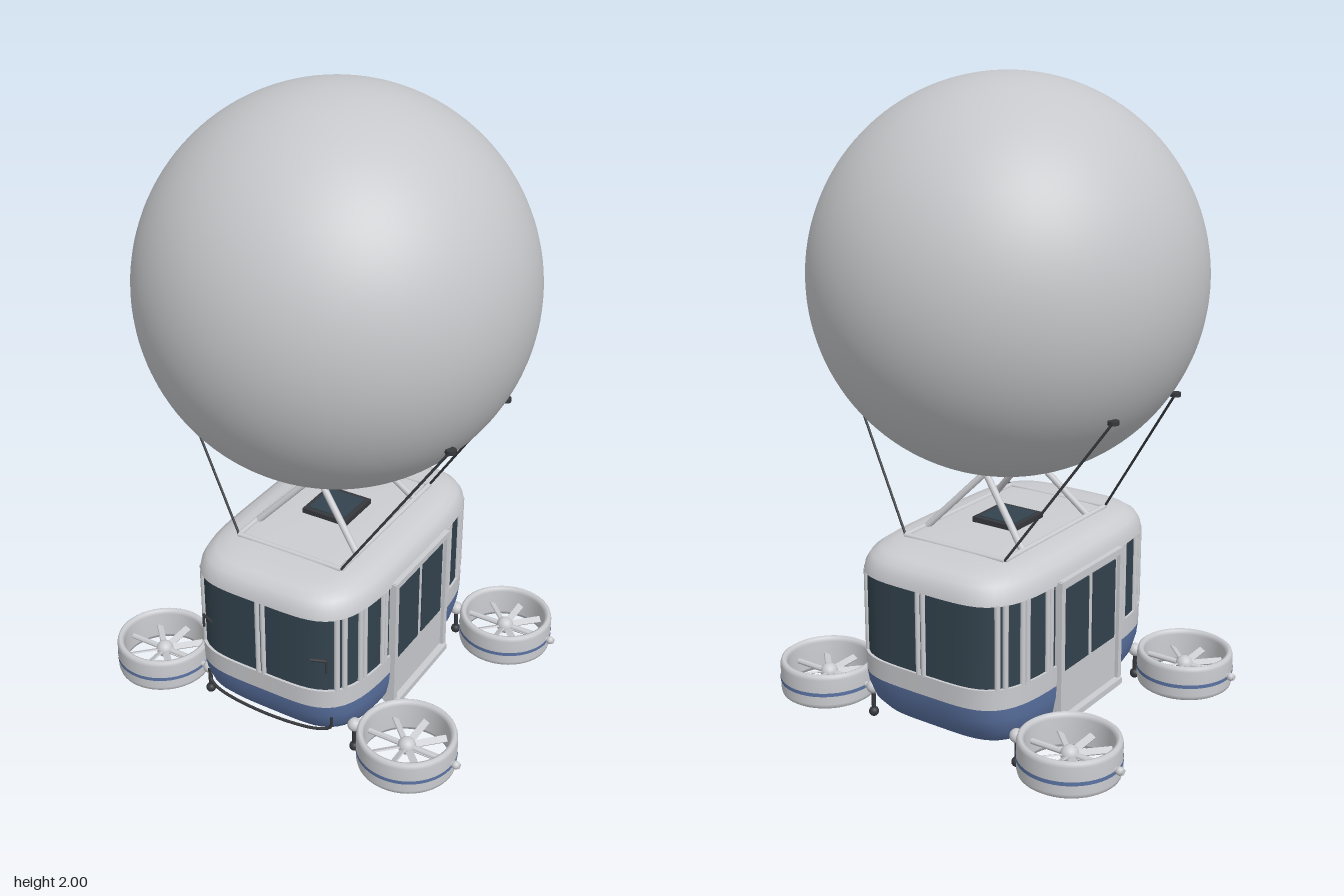
import * as THREE from 'three';

const mat = (name, color, side = THREE.FrontSide) => {
  const m = new THREE.MeshStandardMaterial({ color, side });
  m.name = name;
  return m;
};
const V = (x, y, z) => new THREE.Vector3(x, y, z);

// Rounded plan of the cabin: x half-width w, z half-length l
const N = 4.5;
const sideX = (z, w, l) => w * Math.pow(1 - Math.pow(Math.abs(z) / l, N), 1 / N);

// Stack of rounded plans; each row is [y, halfWidth, halfLength], from bottom to top
function loft(rows, seg = 96) {
  const pos = [], idx = [];
  for (const [y, w, l] of rows) {
    for (let i = 0; i < seg; i++) {
      const a = (i / seg) * Math.PI * 2, c = Math.cos(a), s = Math.sin(a);
      const r = Math.pow(Math.abs(c) ** N + Math.abs(s) ** N, -1 / N);
      pos.push(w * r * c, y, l * r * s);
    }
  }
  for (let j = 0; j < rows.length - 1; j++) {
    for (let i = 0; i < seg; i++) {
      const k = (i + 1) % seg, a = j * seg + i, b = j * seg + k;
      idx.push(a, a + seg, b, b, a + seg, b + seg);
    }
  }
  const g = new THREE.BufferGeometry();
  g.setAttribute('position', new THREE.Float32BufferAttribute(pos, 3));
  g.setIndex(idx);
  g.computeVertexNormals();
  return g;
}

export function createModel() {
  const shell = mat('light grey shell', 0xcbccd0);
  const balloonGrey = mat('balloon grey', 0xc6c7ca);
  const blue = mat('hull blue', 0x5b73a3, THREE.DoubleSide);
  const glass = mat('dark glass', 0x33434e);
  const dark = mat('dark metal', 0x36383c);

  const root = new THREE.Group();
  const add = (name, geo, material, parent = root, p = [0, 0, 0]) => {
    const m = new THREE.Mesh(geo, material);
    m.name = name;
    m.position.set(...p);
    parent.add(m);
    return m;
  };
  const box = (name, w, h, d, material, p, parent = root) =>
    add(name, new THREE.BoxGeometry(w, h, d), material, parent, p);
  // Round bar between two points
  const bar = (name, a, b, r, material, parent = root) => {
    const d = b.clone().sub(a);
    const m = add(name, new THREE.CylinderGeometry(r, r, d.length(), 12), material, parent);
    m.position.copy(a).add(b).multiplyScalar(0.5);
    m.quaternion.setFromUnitVectors(V(0, 1, 0), d.normalize());
    return m;
  };

  // Balloon
  add('balloon', new THREE.SphereGeometry(0.605, 96, 64), balloonGrey, root, [0, 1.395, 0]);

  // Cabin shell
  add('hull', loft([[0.012, 0.001, 0.001], [0.012, 0.1, 0.15], [0.02, 0.17, 0.26], [0.04, 0.23, 0.34],
    [0.07, 0.27, 0.395], [0.11, 0.292, 0.43], [0.16, 0.302, 0.45], [0.2, 0.305, 0.457]]), blue);
  add('waistBand', loft([[0.2, 0.305, 0.457], [0.265, 0.305, 0.46]]), shell);
  add('windowSill', loft([[0.265, 0.305, 0.46], [0.265, 0.29, 0.44]]), shell);
  add('windows', loft([[0.26, 0.298, 0.452], [0.535, 0.298, 0.452]]), glass);
  add('eaves', loft([[0.527, 0.29, 0.44], [0.527, 0.305, 0.46]]), shell);
  add('roof', loft([[0.527, 0.305, 0.46], [0.555, 0.3, 0.455], [0.58, 0.287, 0.44], [0.598, 0.262, 0.415],
    [0.609, 0.225, 0.37], [0.614, 0.16, 0.28], [0.616, 0.001, 0.001]]), shell);

  // Window pillars, mirrored to all corners
  for (const sz of [1, -1]) {
    for (const x of [-0.01, 0.01]) bar('centreMullion', V(x, 0.26, sz * 0.453), V(x, 0.53, sz * 0.453), 0.008, shell);
    for (const sx of [1, -1]) {
      for (const z of [0.405, 0.385, 0.33, 0.312, 0.222, 0.205]) {
        const x = sx * sideX(z, 0.299, 0.453);
        bar('windowPillar', V(x, 0.26, sz * z), V(x, 0.53, sz * z), 0.009, shell);
      }
    }
  }

  // Sliding doors with frame and step on both sides
  for (const sx of [1, -1]) {
    const door = new THREE.Group();
    door.name = 'doorway';
    door.scale.x = 1;
    root.add(door);
    box('doorPanel', 0.03, 0.44, 0.33, shell, [sx * 0.293, 0.305, 0], door);
    for (const sz of [1, -1]) {
      box('doorGlass', 0.006, 0.265, 0.134, glass, [sx * 0.309, 0.37, sz * 0.079], door);
      box('doorPost', 0.04, 0.46, 0.02, shell, [sx * 0.3, 0.305, sz * 0.17], door);
    }
    box('doorHeader', 0.04, 0.02, 0.35, shell, [sx * 0.3, 0.527, 0], door);
    box('doorStep', 0.06, 0.02, 0.34, shell, [sx * 0.3, 0.08, 0], door);
  }

  // Front guard rail and wipers
  const rail = new THREE.CatmullRomCurve3([V(-0.23, 0.16, 0.415), V(-0.225, 0.115, 0.415), V(-0.18, 0.102, 0.43),
    V(0, 0.096, 0.445), V(0.18, 0.102, 0.43), V(0.225, 0.115, 0.415), V(0.23, 0.16, 0.415)]);
  add('guardRail', new THREE.TubeGeometry(rail, 48, 0.005, 8), dark);
  for (const sx of [1, -1]) {
    bar('wiper', V(sx * 0.225, 0.385, 0.437), V(sx * 0.18, 0.385, 0.455), 0.005, dark);
    bar('wiperArm', V(sx * 0.225, 0.385, 0.437), V(sx * 0.225, 0.34, 0.437), 0.004, dark);
  }

  // Roof hatch and rigging frame
  box('roofHatch', 0.16, 0.02, 0.16, dark, [0, 0.622, 0]);
  box('hatchGlass', 0.13, 0.006, 0.13, glass, [0, 0.632, 0]);
  for (const s of [1, -1]) {
    bar('roofRail', V(s * 0.185, 0.612, -0.285), V(s * 0.185, 0.612, 0.285), 0.009, shell);
    bar('roofCrossRail', V(-0.185, 0.612, s * 0.285), V(0.185, 0.612, s * 0.285), 0.009, shell);
  }

  // One set of rigging, leg and ducted fan per corner
  const ductProfile = [[0.132, 0.06], [0.136, 0.049], [0.145, 0.045], [0.152, 0.05], [0.155, 0.062],
    [0.155, 0.145], [0.152, 0.156], [0.145, 0.161], [0.136, 0.157], [0.132, 0.145], [0.132, 0.06]]
    .map(([x, y]) => new THREE.Vector2(x, y));
  for (const sx of [1, -1]) for (const sz of [1, -1]) {
    // Balloon supports
    bar('balloonStrut', V(sx * 0.182, 0.61, sz * 0.185), V(0, 0.805, sz * 0.12), 0.011, shell);
    const top = V(sx * 0.483, 1.06, sz * 0.182);
    bar('cable', V(sx * 0.185, 0.612, sz * 0.285), top, 0.004, dark);
    const disc = add('cableAnchor', new THREE.CylinderGeometry(0.017, 0.017, 0.012, 16), dark);
    disc.position.copy(top);

    // Landing leg
    bar('landingLeg', V(sx * 0.275, 0.1, sz * 0.352), V(sx * 0.275, 0.015, sz * 0.352), 0.007, dark);
    add('landingFoot', new THREE.SphereGeometry(0.016, 16, 12), dark, root, [sx * 0.275, 0.016, sz * 0.352]);
    add('armJoint', new THREE.SphereGeometry(0.022, 20, 14), shell, root, [sx * 0.275, 0.102, sz * 0.352]);

    // Ducted fan
    const fan = new THREE.Group();
    fan.name = 'ductedFan';
    fan.position.set(sx * 0.46, 0, sz * 0.352);
    root.add(fan);
    add('duct', new THREE.LatheGeometry(ductProfile, 48), shell, fan);
    add('ductStripe', new THREE.CylinderGeometry(0.1565, 0.1565, 0.012, 48, 1, true), blue, fan, [0, 0.096, 0]);
    bar('fanAxle', V(-sx * 0.2, 0.102, 0), V(sx * 0.18, 0.102, 0), 0.009, shell, fan);
    add('axleCap', new THREE.SphereGeometry(0.013, 16, 12), shell, fan, [sx * 0.167, 0.102, 0]);
    add('fanHub', new THREE.SphereGeometry(0.028, 24, 16), shell, fan, [0, 0.102, 0]);
    for (let i = 0; i < 8; i++) {
      const blade = new THREE.Group();
      blade.name = 'fanBlade';
      blade.position.y = 0.102;
      blade.rotation.y = (i * Math.PI) / 4;
      fan.add(blade);
      box('bladeVane', 0.108, 0.005, 0.022, shell, [0.074, 0, 0], blade).rotation.x = 0.5;
    }
  }
  return root;
}
